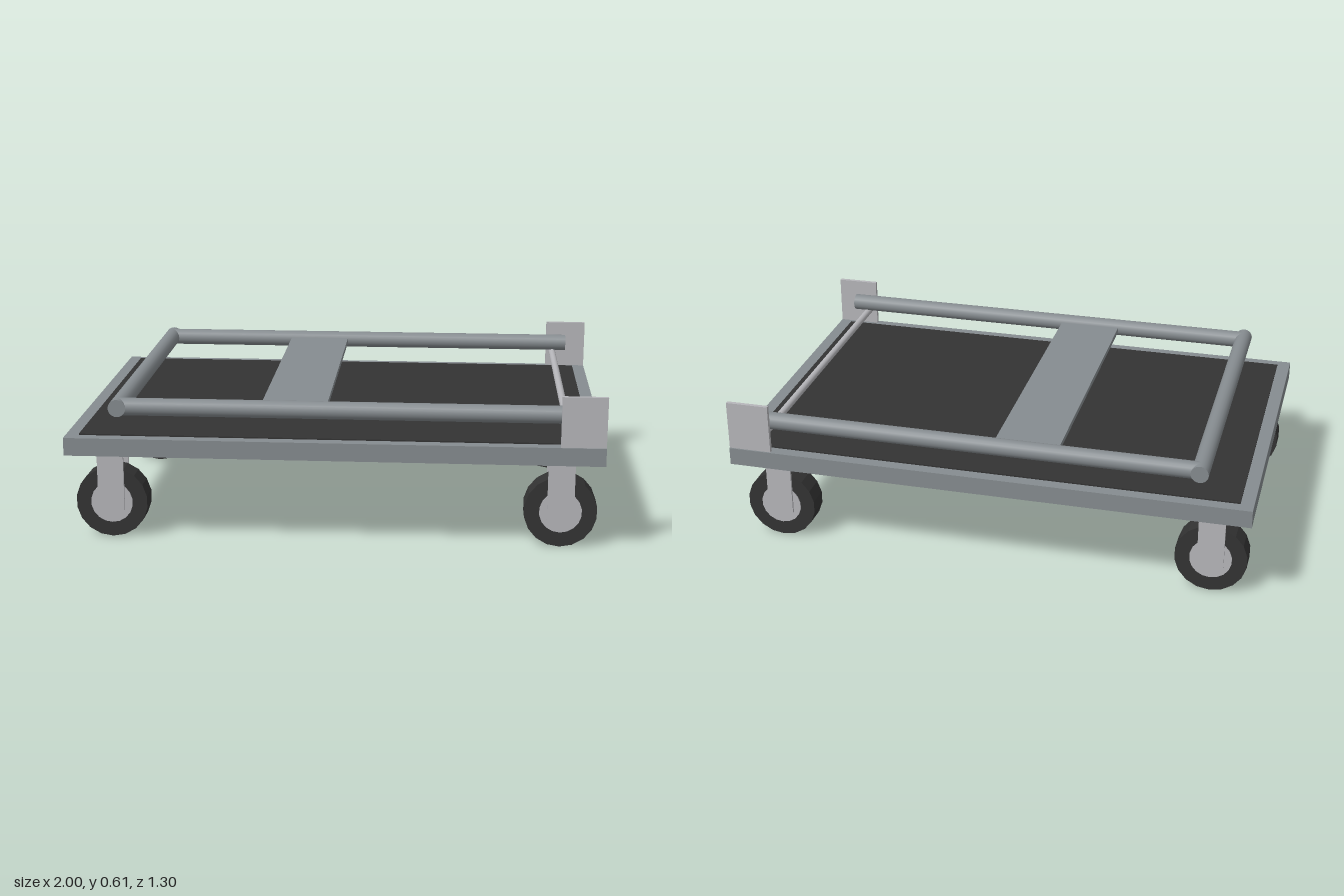
import * as THREE from 'three';

export function createModel() {
  const mat = (name, color, flat = false) => {
    const m = new THREE.MeshStandardMaterial({ color, flatShading: flat });
    m.name = name;
    return m;
  };
  const steel = mat('grey steel', 0x868c90);
  const zinc = mat('light zinc', 0xb6b6ba);
  const rubber = mat('black rubber', 0x333333, true);

  const root = new THREE.Group();
  root.name = 'platformCart';

  const add = (parent, name, geometry, material, x, y, z) => {
    const mesh = new THREE.Mesh(geometry, material);
    mesh.name = name;
    mesh.position.set(x, y, z);
    parent.add(mesh);
    return mesh;
  };
  const box = (w, h, d) => new THREE.BoxGeometry(w, h, d);
  const rodX = (r, len, n) => new THREE.CylinderGeometry(r, r, len, n).rotateZ(Math.PI / 2);
  const rodZ = (r, len, n) => new THREE.CylinderGeometry(r, r, len, n).rotateX(Math.PI / 2);

  // Deck with its rubber mat
  add(root, 'deck', box(2, 0.068, 1.3), steel, 0, 0.386, 0);
  add(root, 'deckMat', box(1.9, 0.006, 1.21), rubber, 0, 0.422, 0);

  // Folded push handle: two rails, an end bar and a flat brace
  for (const s of [1, -1]) {
    add(root, 'handleRail', rodX(0.033, 1.715, 20), steel, 0.0575, 0.53, s * 0.592);
    add(root, 'hingeBracket', box(0.165, 0.19, 0.015), zinc, 0.9175, 0.515, s * 0.637);
  }
  add(root, 'handleEndBar', rodZ(0.033, 1.25, 20), steel, -0.8, 0.53, 0);
  add(root, 'handleBrace', box(0.245, 0.02, 1.17), steel, -0.148, 0.53, 0);
  add(root, 'hingeRod', rodZ(0.014, 1.24, 16), zinc, 0.86, 0.49, 0);

  // Tyre: rounded-shoulder ring around the hub
  const tyreGeo = new THREE.LatheGeometry([
    [0.078, -0.044], [0.137, -0.044], [0.137, 0.044], [0.078, 0.044], [0.078, -0.044],
  ].map(([r, y]) => new THREE.Vector2(r, y)), 18).rotateX(Math.PI / 2);
  const hubGeo = rodZ(0.08, 0.096, 18);

  // Four casters
  for (const x of [-0.848, 0.848]) {
    for (const z of [-0.5, 0.5]) {
      const caster = new THREE.Group();
      caster.name = 'caster';
      caster.position.set(x, 0, z);
      add(caster, 'mountPlate', box(0.19, 0.012, 0.165), zinc, 0, 0.346, 0);
      for (const s of [1, -1]) {
        add(caster, 'forkArm', box(0.1, 0.23, 0.01), zinc, 0, 0.226, s * 0.052);
      }
      add(caster, 'tyre', tyreGeo, rubber, 0, 0.14, 0);
      add(caster, 'hub', hubGeo, zinc, 0, 0.14, 0);
      root.add(caster);
    }
  }
  return root;
}
